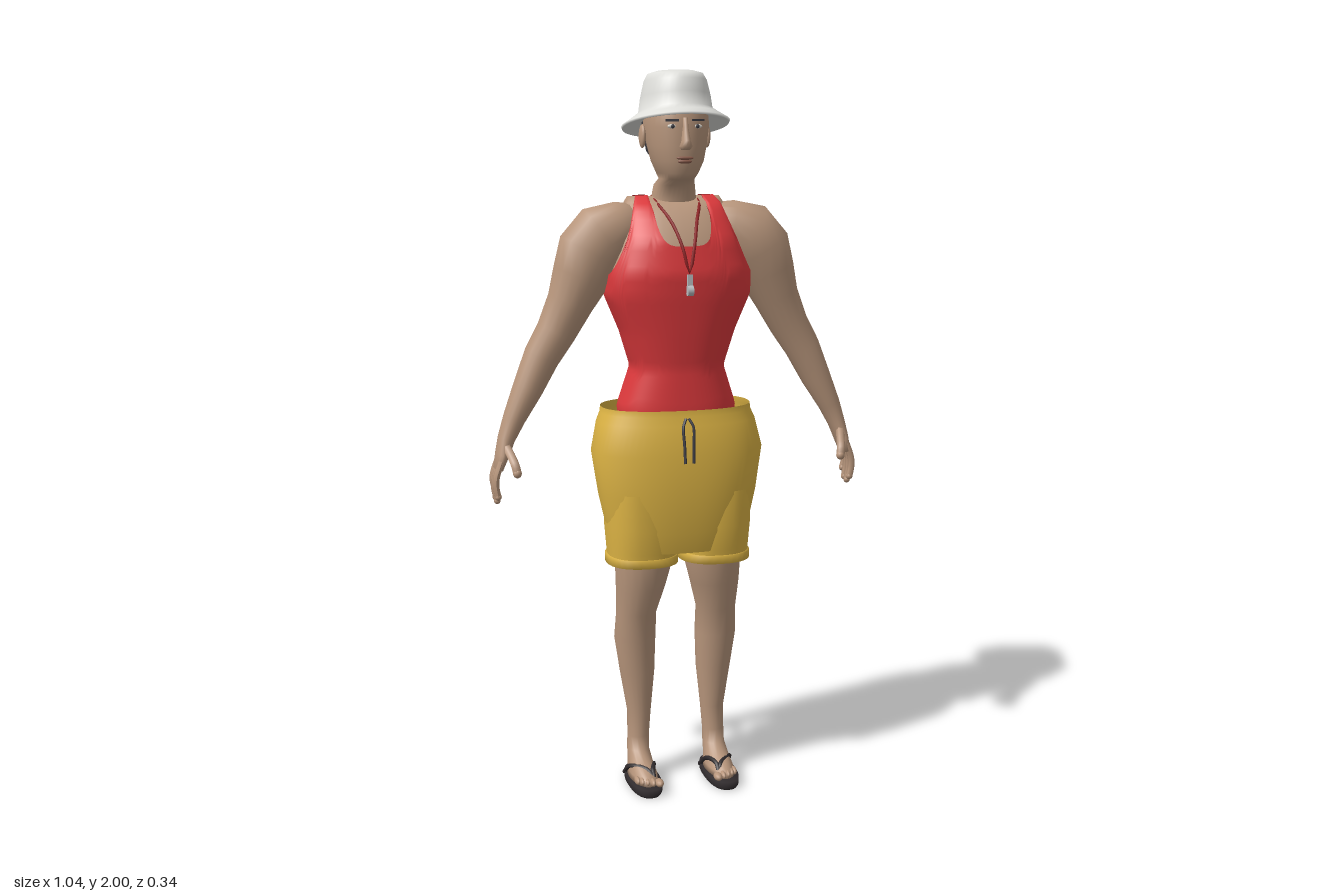
import * as THREE from 'three';

const V = (x, y, z) => new THREE.Vector3(x, y, z);
const spow = (t, p) => Math.sign(t) * Math.abs(t) ** p;
const mat = (name, color, side = THREE.FrontSide) => {
  const m = new THREE.MeshStandardMaterial({ color, side });
  m.name = name;
  return m;
};

// Closed-ring surface from a grid of points; rows run from base to tip.
function skinGrid(rows, caps) {
  const n = rows[0].length, pts = rows.flat(), idx = [];
  for (let j = 0; j < rows.length - 1; j++) for (let i = 0; i < n; i++) {
    const a = j * n + i, b = j * n + (i + 1) % n;
    idx.push(a, a + n, b, b, a + n, b + n);
  }
  if (caps) [0, rows.length - 1].forEach((j) => {
    const c = pts.length;
    pts.push(rows[j].reduce((s, p) => s.add(p), V(0, 0, 0)).divideScalar(n));
    for (let i = 0; i < n; i++) {
      const a = j * n + i, b = j * n + (i + 1) % n;
      idx.push(...(j ? [a, c, b] : [b, c, a]));
    }
  });
  const g = new THREE.BufferGeometry().setFromPoints(pts);
  g.setIndex(idx);
  g.computeVertexNormals();
  return g;
}

// Loft of [x, y, z, radius, zRadius]; with tilt the rings follow the path in xy.
function loft(sections, { n = 24, p = 1, caps = true, tilt = false } = {}) {
  return skinGrid(sections.map(([x, y, z, a, b], j) => {
    const s = sections[Math.max(j - 1, 0)], e = sections[Math.min(j + 1, sections.length - 1)];
    const t = tilt ? V(e[0] - s[0], e[1] - s[1], 0).normalize() : V(0, 1, 0);
    return Array.from({ length: n }, (_, i) => {
      const u = i / n * Math.PI * 2, q = a * spow(Math.cos(u), p);
      return V(x + t.y * q, y - t.x * q, z + b * spow(Math.sin(u), p));
    });
  }), caps);
}

// Moves every vertex by a rule.
function warp(g, rule) {
  const a = g.attributes.position;
  for (let i = 0; i < a.count; i++) {
    const v = V(0, 0, 0).fromBufferAttribute(a, i);
    rule(v);
    a.setXYZ(i, v.x, v.y, v.z);
  }
  g.computeVertexNormals();
  return g;
}

function mirrored(g) {
  const m = g.clone().scale(-1, 1, 1), k = m.index;
  for (let i = 0; i < k.count; i += 3) {
    const t = k.getX(i);
    k.setX(i, k.getX(i + 1));
    k.setX(i + 1, t);
  }
  m.computeVertexNormals();
  return m;
}

const tube = (points, r, closed = false) =>
  new THREE.TubeGeometry(new THREE.CatmullRomCurve3(points, closed), closed ? 32 : 14, r, 6, closed);
const ball = (x, y, z, a, b, c) => new THREE.SphereGeometry(1, 14, 10).scale(a, b, c).translate(x, y, z);
const box = (x, y, z, w, h, d, ry = 0) => new THREE.BoxGeometry(w, h, d).rotateY(ry).translate(x, y, z);

export function createModel() {
  const skin = mat('skin', 0xb8967c), red = mat('red cloth', 0xdc393c, THREE.DoubleSide);
  const yellow = mat('yellow cloth', 0xdcb344, THREE.DoubleSide), felt = mat('pale felt', 0xdededa, THREE.DoubleSide);
  const hair = mat('dark hair', 0x3b3b42), rubber = mat('dark rubber', 0x2f2a2c);
  const cordRed = mat('dark red cord', 0x8c2224), metal = mat('metal', 0xb9bdc0);
  const lips = mat('lips', 0x8a5c4c), white = mat('eye white', 0xd8d2c8);

  const root = new THREE.Group();
  const add = (name, g, m) => {
    const mesh = new THREE.Mesh(g, m);
    mesh.name = name;
    root.add(mesh);
  };
  const pair = (name, g, m) => { add('left' + name, g, m); add('right' + name, mirrored(g), m); };

  // Torso
  const body = [
    [0, 1.04, -0.005, 0.155, 0.105], [0, 1.09, -0.005, 0.16, 0.107], [0, 1.2, 0, 0.124, 0.098],
    [0, 1.3, 0.004, 0.155, 0.108], [0, 1.4, 0.007, 0.198, 0.118], [0, 1.46, 0.006, 0.198, 0.124],
    [0, 1.55, -0.003, 0.168, 0.115], [0, 1.62, -0.025, 0.146, 0.086], [0, 1.65, -0.032, 0.138, 0.055],
    [0, 1.664, -0.034, 0.13, 0.012]];
  add('torso', loft(body, { n: 40, p: 0.85 }), skin);

  // Tank top: each column stops at the neckline, shoulder or armhole
  const ringAt = (y) => {
    let k = 0;
    while (k < body.length - 2 && body[k + 1][1] < y) k++;
    const t = (y - body[k][1]) / (body[k + 1][1] - body[k][1]);
    return body[k].map((v, i) => v + (body[k + 1][i] - v) * t);
  };
  const hemTop = (c, front) => {
    const low = front ? 1.535 : 1.575, a = Math.abs(c);
    if (a < 0.5) return low + (1.664 - low) * (a / 0.5) ** 4;
    return a < 0.8 ? 1.664 : 1.455 + 0.209 * (1 - (a - 0.8) / 0.2) ** 2;
  };
  const cols = 120, steps = 30;
  add('tankTop', skinGrid(Array.from({ length: steps + 1 }, (_, j) =>
    Array.from({ length: cols }, (_, i) => {
      const u = i / cols * Math.PI * 2, c = Math.cos(u), s = Math.sin(u);
      const y = 1.06 + (hemTop(c, s > 0) - 1.06) * j / steps, r = ringAt(y);
      return V((r[3] + 0.006) * spow(c, 0.85), y + 0.003, r[2] + (r[4] + 0.006) * spow(s, 0.85));
    })), false), red);

  // Arms and hands
  pair('Arm', loft([
    [0.09, 1.585, -0.025, 0.06, 0.05], [0.15, 1.575, -0.02, 0.078, 0.068], [0.205, 1.555, -0.012, 0.094, 0.076],
    [0.238, 1.515, -0.012, 0.094, 0.076], [0.265, 1.45, -0.014, 0.08, 0.07], [0.295, 1.38, -0.018, 0.064, 0.06],
    [0.335, 1.3, -0.02, 0.055, 0.052], [0.375, 1.235, -0.02, 0.05, 0.048], [0.415, 1.15, -0.016, 0.042, 0.042],
    [0.455, 1.07, -0.01, 0.031, 0.034], [0.478, 1.015, -0.008, 0.024, 0.029], [0.49, 0.975, -0.004, 0.019, 0.04],
    [0.502, 0.935, -0.004, 0.013, 0.038]], { n: 18, tilt: true }), skin);
  [0.026, 0.006, -0.014, -0.032].forEach((z, i) => {
    const tip = [0.862, 0.848, 0.853, 0.875][i];
    pair('Finger' + (i + 1), tube([V(0.497, 0.96, z), V(0.512, 0.915, z), V(0.513, (0.915 + tip) / 2, z),
      V(0.508, tip, z)], 0.0095), skin);
    pair('Fingertip' + (i + 1), ball(0.508, tip, z, 0.0095, 0.01, 0.0095), skin);
  });
  pair('Thumb', tube([V(0.482, 1.0, 0.012), V(0.472, 0.975, 0.045), V(0.466, 0.955, 0.066), V(0.462, 0.935, 0.073)], 0.012), skin);
  pair('ThumbTip', ball(0.462, 0.935, 0.073, 0.012, 0.013, 0.012), skin);

  // Legs with feet
  pair('Leg', loft([
    [0.113, 0.022, 0.048, 0.04, 0.092], [0.113, 0.04, 0.046, 0.038, 0.09], [0.113, 0.062, 0.02, 0.034, 0.064],
    [0.113, 0.09, -0.006, 0.031, 0.038], [0.112, 0.13, -0.008, 0.031, 0.033], [0.109, 0.2, -0.01, 0.034, 0.033],
    [0.113, 0.32, -0.014, 0.05, 0.046], [0.119, 0.42, -0.014, 0.059, 0.056], [0.117, 0.5, -0.003, 0.057, 0.057],
    [0.108, 0.58, 0.012, 0.07, 0.069], [0.098, 0.67, 0.018, 0.084, 0.078], [0.098, 0.75, 0.015, 0.085, 0.08]],
  { n: 20 }), skin);
  [0.086, 0.103, 0.118, 0.131, 0.142].forEach((x, i) =>
    pair('Toe' + (i + 1), ball(x, 0.034, 0.137 - i * 0.008, i ? 0.008 : 0.012, 0.011, 0.02), skin));

  // Flip-flops
  pair('Sole', loft([[0.113, 0, 0.055, 0.042, 0.106], [0.113, 0.006, 0.055, 0.046, 0.11],
    [0.113, 0.024, 0.055, 0.046, 0.11]], { n: 28, p: 0.85 }), rubber);
  [-1, 1].forEach((s) => pair(s < 0 ? 'InnerStrap' : 'OuterStrap', tube([V(0.095, 0.03, 0.118),
    V(0.1 + s * 0.006, 0.055, 0.095), V(0.113 + s * 0.034, 0.055, 0.045), V(0.113 + s * 0.042, 0.02, 0.0)], 0.0065), rubber));

  // Shorts, creased between the legs at the back
  add('shorts', warp(loft([
    [0, 0.69, 0.01, 0.188, 0.1], [0, 0.75, 0.01, 0.202, 0.115], [0, 0.85, 0.008, 0.224, 0.128],
    [0, 0.97, 0.004, 0.242, 0.134], [0, 1.05, -0.008, 0.224, 0.13], [0, 1.075, -0.012, 0.213, 0.127],
    [0, 1.092, -0.012, 0.211, 0.126]], { n: 64, p: 0.85, caps: false }), (v) => {
    if (v.z < 0) v.z += 0.06 * Math.exp(-((v.x / 0.035) ** 2)) * THREE.MathUtils.clamp((1.03 - v.y) / 0.25, 0, 1);
  }), yellow);
  pair('ShortsLeg', loft([[0.104, 0.655, 0.01, 0.096, 0.096], [0.104, 0.69, 0.01, 0.097, 0.1],
    [0.108, 0.76, 0.008, 0.098, 0.113], [0.112, 0.86, 0.005, 0.095, 0.115]], { n: 32, p: 0.85, caps: false }), yellow);
  pair('ShortsCuff', loft([[0.104, 0.652, 0.01, 0.09, 0.09], [0.104, 0.652, 0.01, 0.101, 0.101],
    [0.104, 0.675, 0.01, 0.101, 0.103], [0.104, 0.677, 0.01, 0.094, 0.094]], { n: 32, p: 0.85, caps: false }), yellow);
  pair('Drawstring', tube([V(0.004, 1.07, 0.117), V(0.014, 1.05, 0.127), V(0.013, 1.0, 0.136),
    V(0.012, 0.95, 0.141)], 0.004), hair);

  // Head and neck
  add('head', loft([
    [0, 1.6, -0.035, 0.07, 0.05], [0, 1.655, -0.03, 0.062, 0.055], [0, 1.695, -0.022, 0.056, 0.053],
    [0, 1.712, 0.002, 0.046, 0.07], [0, 1.728, 0.008, 0.055, 0.077], [0, 1.76, 0.008, 0.07, 0.083],
    [0, 1.8, 0.002, 0.079, 0.093], [0, 1.85, -0.004, 0.087, 0.099], [0, 1.9, -0.008, 0.086, 0.1],
    [0, 1.94, -0.01, 0.07, 0.08]], { n: 32, p: 0.92 }), skin);
  add('nose', loft([[0, 1.79, 0.094, 0.012, 0.014], [0, 1.8, 0.1, 0.018, 0.022], [0, 1.815, 0.098, 0.012, 0.021],
    [0, 1.85, 0.092, 0.008, 0.012], [0, 1.875, 0.088, 0.008, 0.008]], { n: 10 }), skin);
  pair('Ear', ball(0.09, 1.825, -0.018, 0.009, 0.032, 0.02).rotateY(-0.02), skin);
  pair('Eye', ball(0.034, 1.852, 0.087, 0.014, 0.006, 0.005), white);
  pair('Pupil', ball(0.034, 1.852, 0.091, 0.0055, 0.0055, 0.003), hair);
  pair('Eyebrow', box(0.035, 1.868, 0.088, 0.036, 0.006, 0.008, 0.22), hair);
  add('upperLip', ball(0, 1.769, 0.09, 0.024, 0.005, 0.006), lips);
  add('lowerLip', ball(0, 1.76, 0.088, 0.02, 0.006, 0.007), lips);

  // Hair: shell wrapped round the back of the head
  add('hair', warp(loft([[0, 1.772, -0.012, 0.068, 0.078], [0, 1.785, -0.008, 0.078, 0.09],
    [0, 1.82, -0.006, 0.085, 0.1], [0, 1.86, -0.009, 0.09, 0.1], [0, 1.9, -0.01, 0.088, 0.1]],
  { n: 40, p: 0.92 }), (v) => { if (v.z > -0.035) v.set(v.x * 0.9, v.y, -0.035); }), hair);

  // Hat, tipped back
  add('hat', warp(loft([
    [0, 1.853, -0.009, 0.143, 0.16], [0, 1.859, -0.009, 0.146, 0.163], [0, 1.875, -0.01, 0.122, 0.138],
    [0, 1.891, -0.011, 0.1, 0.114], [0, 1.93, -0.012, 0.094, 0.11], [0, 1.972, -0.013, 0.084, 0.1],
    [0, 1.99, -0.013, 0.074, 0.088], [0, 1.997, -0.013, 0.05, 0.06]], { n: 40 }), (v) => {
    v.y += v.z * THREE.MathUtils.lerp(0.21, 0.05, THREE.MathUtils.clamp((v.y - 1.89) / 0.1, 0, 1));
    if (v.y < 1.87 && Math.hypot(v.x, v.z + 0.009) < 0.001) v.y = 1.9;
  }), felt);

  // Whistle on a neck cord
  add('neckCord', tube([V(0, 1.47, 0.136), V(0.016, 1.535, 0.126), V(0.035, 1.6, 0.082), V(0.06, 1.65, 0.01),
    V(0.05, 1.66, -0.07), V(0, 1.64, -0.1), V(-0.05, 1.66, -0.07), V(-0.06, 1.65, 0.01), V(-0.035, 1.6, 0.082),
    V(-0.016, 1.535, 0.126)], 0.0045, true), cordRed);
  add('whistleBody', new THREE.CylinderGeometry(0.014, 0.014, 0.016, 16).rotateZ(Math.PI / 2).translate(0, 1.422, 0.142), metal);
  add('whistleMouthpiece', box(0, 1.445, 0.138, 0.014, 0.04, 0.012), metal);
  return root;
}
